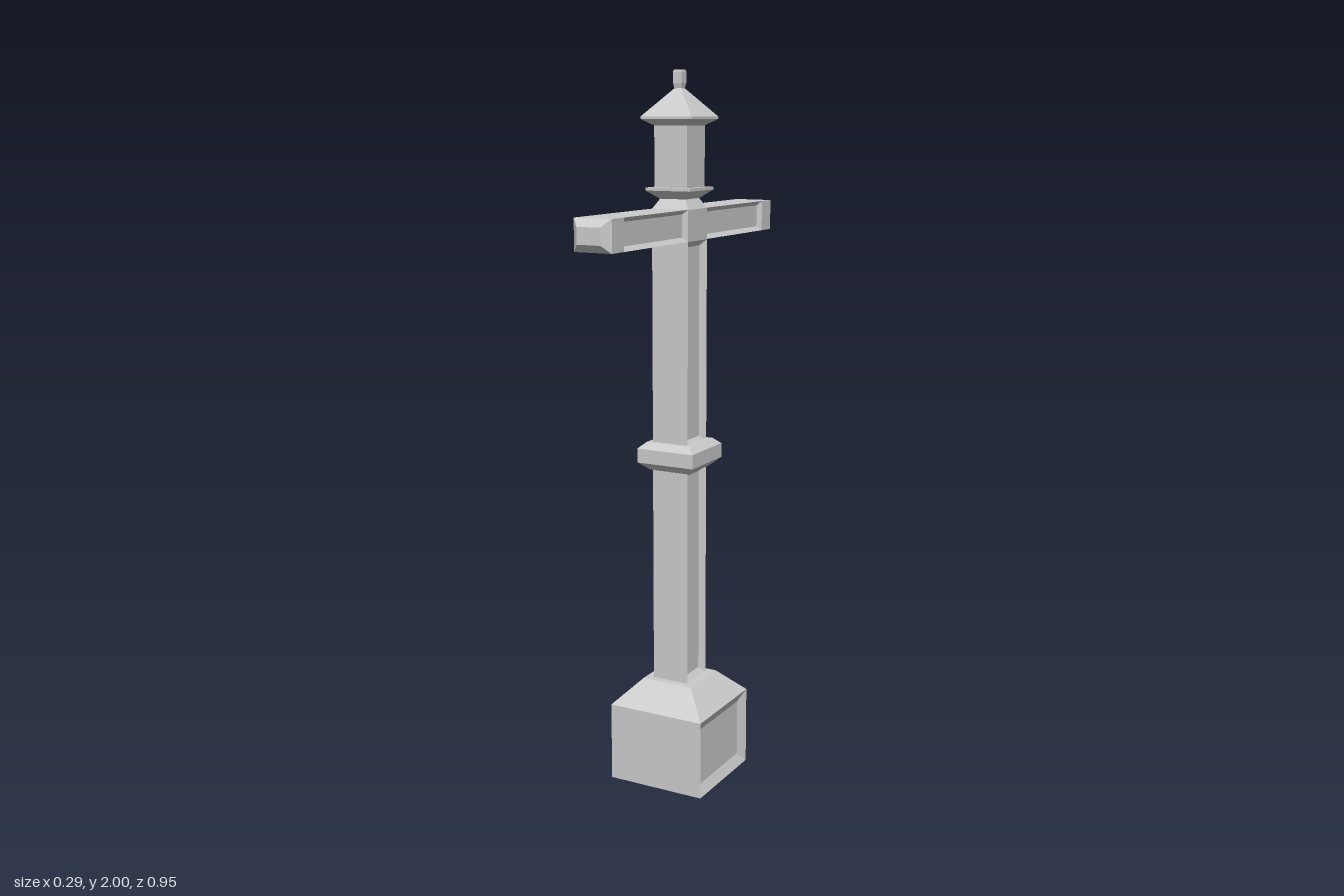
import * as THREE from 'three';

const material = new THREE.MeshStandardMaterial({ color: 0xcccccc, flatShading: true });

// Rectangular loft along an axis. Each section is [position, half size, half size];
// the two half sizes follow the axis order x -> y -> z -> x.
function loft(name, axis, sections, center = [0, 0, 0]) {
  const axisIndex = 'xyz'.indexOf(axis);
  const rings = sections.map(([t, a, b = a]) =>
    [[-a, -b], [a, -b], [a, b], [-a, b]].map(([u, v]) => {
      const p = [...center];
      p[axisIndex] += t;
      p[(axisIndex + 1) % 3] += u;
      p[(axisIndex + 2) % 3] += v;
      return p;
    }));
  const positions = [];
  const quad = (a, b, c, d) => positions.push(...a, ...b, ...c, ...a, ...c, ...d);
  const first = rings[0], last = rings[rings.length - 1];
  quad(first[0], first[3], first[2], first[1]);
  quad(...last);
  for (let i = 0; i + 1 < rings.length; i++) {
    for (let k = 0; k < 4; k++) {
      const n = (k + 1) % 4;
      quad(rings[i][k], rings[i][n], rings[i + 1][n], rings[i + 1][k]);
    }
  }
  const geometry = new THREE.BufferGeometry();
  geometry.setAttribute('position', new THREE.Float32BufferAttribute(positions, 3));
  geometry.computeVertexNormals();
  const mesh = new THREE.Mesh(geometry, material);
  mesh.name = name;
  return mesh;
}

// Block with a bevelled sunken panel on both x sides
function panelBlock(name, halfX, [y0, y1], [z0, z1], inset, depth) {
  const hy = (y1 - y0) / 2, hz = (z1 - z0) / 2;
  const inner = [hy - inset, hz - inset];
  return loft(name, 'x', [
    [-halfX + depth, ...inner], [-halfX, hy, hz],
    [halfX, hy, hz], [halfX - depth, ...inner],
  ], [0, (y0 + y1) / 2, (z0 + z1) / 2]);
}

export function createModel() {
  const model = new THREE.Group();
  model.name = 'signpost';
  const postZ = 0.007;
  const c = [0, 0, postZ];
  const span = (h) => [postZ - h, postZ + h];

  // Plinth
  model.add(panelBlock('plinth', 0.145, [0, 0.225], span(0.145), 0.03, 0.015));
  model.add(loft('plinthTop', 'y', [[0.225, 0.145], [0.295, 0.077]], c));

  // Panelled shafts and the collar between them
  model.add(panelBlock('lowerShaft', 0.055, [0.295, 0.915], span(0.055), 0.016, 0.015));
  model.add(loft('collar', 'y', [[0.912, 0.06], [0.935, 0.087], [0.975, 0.087], [0.992, 0.068]], c));
  model.add(panelBlock('upperShaft', 0.055, [0.985, 1.55], span(0.055), 0.016, 0.015));

  // Crossing block and neck
  model.add(loft('crossing', 'y', [[1.55, 0.055], [1.635, 0.055], [1.665, 0.037]], c));

  // Two arms with panelled sides and chamfered ends
  const armY = 1.593, armH = 0.0425;
  for (const side of [1, -1]) {
    const arm = new THREE.Group();
    arm.name = side > 0 ? 'frontArm' : 'backArm';
    const inner = postZ + side * 0.055, outer = side * 0.395;
    arm.add(panelBlock('armBeam', 0.055, [armY - armH, armY + armH],
      [Math.min(inner, outer), Math.max(inner, outer)], 0.012, 0.012));
    const end = [[0.395, 0.055, armH], [0.453, 0.055, armH], [0.474, 0.034, 0.022]]
      .map(([t, a, b]) => [side * t, a, b]);
    if (side < 0) end.reverse();
    arm.add(loft('armEnd', 'z', end, [0, armY, 0]));
    model.add(arm);
  }

  // Flared seat, head block, pyramid roof and finial
  model.add(loft('headSeat', 'y', [[1.66, 0.037], [1.684, 0.068], [1.692, 0.068]], c));
  model.add(loft('head', 'y', [[1.69, 0.05], [1.862, 0.05]], c));
  model.add(loft('roof', 'y', [[1.855, 0.05], [1.872, 0.077], [1.878, 0.077], [1.952, 0.01]], c));
  model.add(loft('finial', 'y', [[1.945, 0.009], [1.965, 0.013], [1.995, 0.013], [2, 0.011]], c));

  return model;
}
